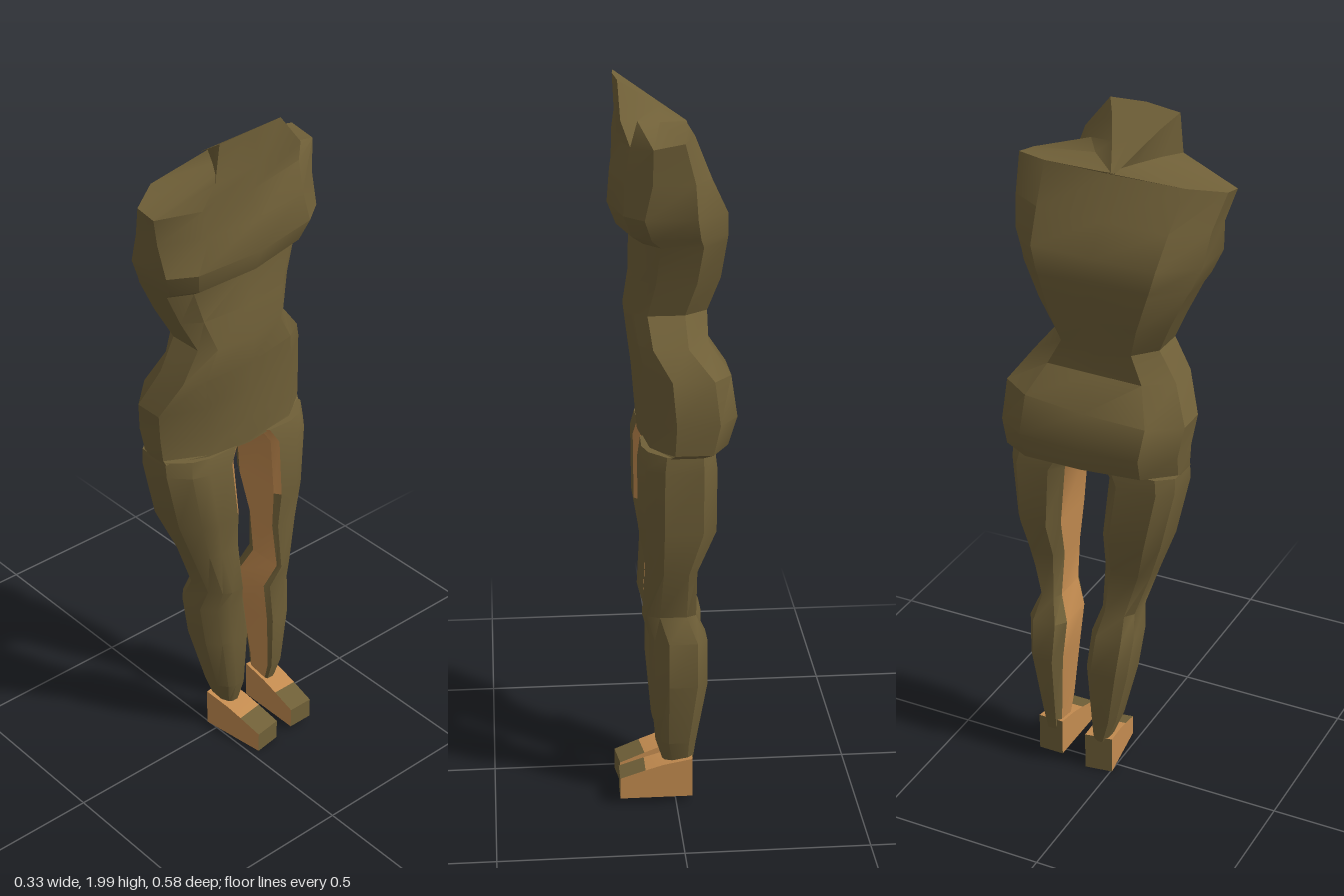
import * as THREE from 'three';
import { toCreasedNormals } from 'three/addons/utils/BufferGeometryUtils.js';

const olive = new THREE.MeshStandardMaterial({ color: 0x706038 });
olive.name = 'olive cloth';
const tan = new THREE.MeshStandardMaterial({ color: 0xc48c50 });
tan.name = 'tan';

// Normalised cross-sections: u runs back (0) to chest (1), v runs right (-1) to left (1)
const torsoProfile = [[0.92, 0.74], [1, 0], [0.92, -0.74], [0.76, -1], [0.3, -1], [0, -0.66], [0, 0], [0, 0.66], [0.3, 1], [0.76, 1]];
const softProfile = [[0.92, 0.56], [1, 0], [0.92, -0.66], [0.68, -1], [0.25, -1], [0.04, -0.68], [0, 0], [0.05, 0.68], [0.33, 1], [0.66, 1]];
const neckProfile = [[0.96, 0.92], [1, 0], [0.96, -0.92], [0.72, -0.66], [0.4, -0.38], [0, -0.06], [0, 0], [0, 0.06], [0.4, 0.38], [0.72, 0.66]];
// Right leg, with its broad flat inner side at v = 1; the left leg mirrors it
const rightLegProfile = [[0.99, 0.8], [1, 0], [0.92, -0.5], [0.68, -1], [0.18, -1], [0, -0.6], [0, 0.6], [0.2, 1], [0.9, 1]];
const leftLegProfile = rightLegProfile.map(([u, v]) => [u, -v]).reverse();

// One horizontal ring; tilt leans it sideways, shear twists it, pitch raises its front
function ring(profile, y, xb, xf, z0, z1, tilt = 0, shear = 0, pitch = 0) {
  return profile.map(([u, v]) => {
    const z = (z0 + z1) / 2 + v * (z1 - z0) / 2;
    const dx = u * (xf - xb);
    return [xb + dx + shear * z, y - tilt * z + pitch * dx, z];
  });
}

// Skin a list of rings and cap both ends; isTan(i, j) picks the colour of each panel
function loft(name, rings, isTan = () => false, crease = 0.55) {
  const panels = [[], []];
  const n = rings[0].length;
  const last = rings.length - 1;
  const middle = (r) => [0, 1, 2].map((k) => r.reduce((s, p) => s + p[k], 0) / n);
  for (let j = 0; j < n; j++) {
    const k = (j + 1) % n;
    for (let i = 0; i < last; i++) {
      const [a, b, c, d] = [rings[i][j], rings[i][k], rings[i + 1][k], rings[i + 1][j]];
      panels[isTan(i, j) ? 1 : 0].push(a, b, c, a, c, d);
    }
    panels[0].push(middle(rings[0]), rings[0][k], rings[0][j]);
    panels[0].push(middle(rings[last]), rings[last][j], rings[last][k]);
  }
  let geo = new THREE.BufferGeometry();
  geo.setAttribute('position', new THREE.Float32BufferAttribute(panels.flat(2), 3));
  geo = toCreasedNormals(geo, crease);
  geo.clearGroups();
  geo.addGroup(0, panels[0].length, 0);
  geo.addGroup(panels[0].length, panels[1].length, 1);
  const mesh = new THREE.Mesh(geo, [olive, tan]);
  mesh.name = name;
  return mesh;
}

export function createModel() {
  const model = new THREE.Group();
  model.name = 'standingFigure';

  // Torso: hips, waist, overhanging chest hem, sloped shoulders and a slanted neck wedge
  const hips = [
    [1.04, -0.1, 0.092, -0.28, 0.205, 0, 0.03],
    [1.05, -0.138, 0.094, -0.287, 0.207, 0, 0.04],
    [1.12, -0.163, 0.1, -0.291, 0.212, 0.04, 0.04],
    [1.22, -0.147, 0.107, -0.28, 0.225, 0.1, 0.04],
  ];
  const chest = [
    [1.31, -0.082, 0.118, -0.23, 0.18, 0.05, 0.04],
    [1.39, -0.085, 0.127, -0.17, 0.133, 0.03, 0.03],
    [1.48, -0.118, 0.112, -0.2, 0.175, 0.04, 0.03],
    [1.58, -0.128, 0.11, -0.236, 0.22, 0.06, 0.05],
    [1.6, -0.13, 0.142, -0.245, 0.23, 0.06, 0.05],
    [1.66, -0.128, 0.165, -0.268, 0.255, 0.05, 0.04],
  ];
  const shoulders = [
    [1.75, -0.094, 0.157, -0.268, 0.265, 0.05, 0.05],
    [1.86, -0.042, 0.142, -0.27, 0.29, 0.06, 0.08, -0.18],
  ];
  const neck = [
    [1.862, -0.045, 0.144, -0.17, 0.135, 0.1, 0, 0.15],
    [1.866, -0.045, 0.147, -0.095, 0.12, 0.06, 0, 0.66],
  ];
  model.add(loft('torso', [
    ...hips.map((r) => ring(softProfile, ...r)),
    ...chest.map((r) => ring(torsoProfile, ...r)),
    ...shoulders.map((r) => ring(softProfile, ...r)),
    ...neck.map((r) => ring(neckProfile, ...r)),
  ]));

  // Legs: shared side profile [y, back, front], separate sideways stance [right, left]
  const legSide = [
    [0.1, -0.045, 0.03], [0.18, -0.055, 0.055], [0.36, -0.085, 0.07], [0.49, -0.085, 0.07],
    [0.56, -0.055, 0.09], [0.7, -0.055, 0.08], [0.82, -0.105, 0.1], [1.0, -0.105, 0.1], [1.045, -0.1, 0.09],
  ];
  const leftStance = [
    [-0.06, -0.015], [-0.065, 0.015], [-0.068, 0.06], [-0.05, 0.08],
    [-0.03, 0.07], [-0.02, 0.12], [-0.01, 0.165], [0.01, 0.205], [-0.015, 0.205],
  ];
  const rightStance = [
    [-0.21, -0.165], [-0.225, -0.16], [-0.245, -0.145], [-0.245, -0.13],
    [-0.22, -0.16], [-0.26, -0.148], [-0.27, -0.14], [-0.285, -0.125], [-0.28, -0.095],
  ];
  // Tan covers the inner side and its front corner near the crotch
  const leg = (name, profile, stance, innerPanel) => loft(name,
    legSide.map((s, i) => ring(profile, ...s, ...stance[i])),
    (i, j) => j === innerPanel || (j === 8 && i > 5));
  model.add(leg('leftLeg', leftLegProfile, leftStance, 0), leg('rightLeg', rightLegProfile, rightStance, 7));

  // Feet: wedge sections [x, height] from heel to toe, tan sides and instep
  const footSide = [[-0.045, 0.115], [0.035, 0.1], [0.085, 0.085], [0.155, 0.062]];
  function foot(name, width, y, z, yaw) {
    const w = width / 2;
    const rings = footSide.map(([x, h]) => [[x, h, -w], [x, h, w], [x, 0, w], [x, 0, -w]]);
    const mesh = loft(name, rings, (i, j) => j === 1 || j === 3 || (j === 0 && i < 2), 0.2);
    mesh.position.set(0, y, z);
    mesh.rotation.y = yaw;
    return mesh;
  }
  model.add(foot('leftFoot', 0.082, 0, -0.043, 0.14), foot('rightFoot', 0.075, 0.018, -0.192, 0));

  return model;
}
